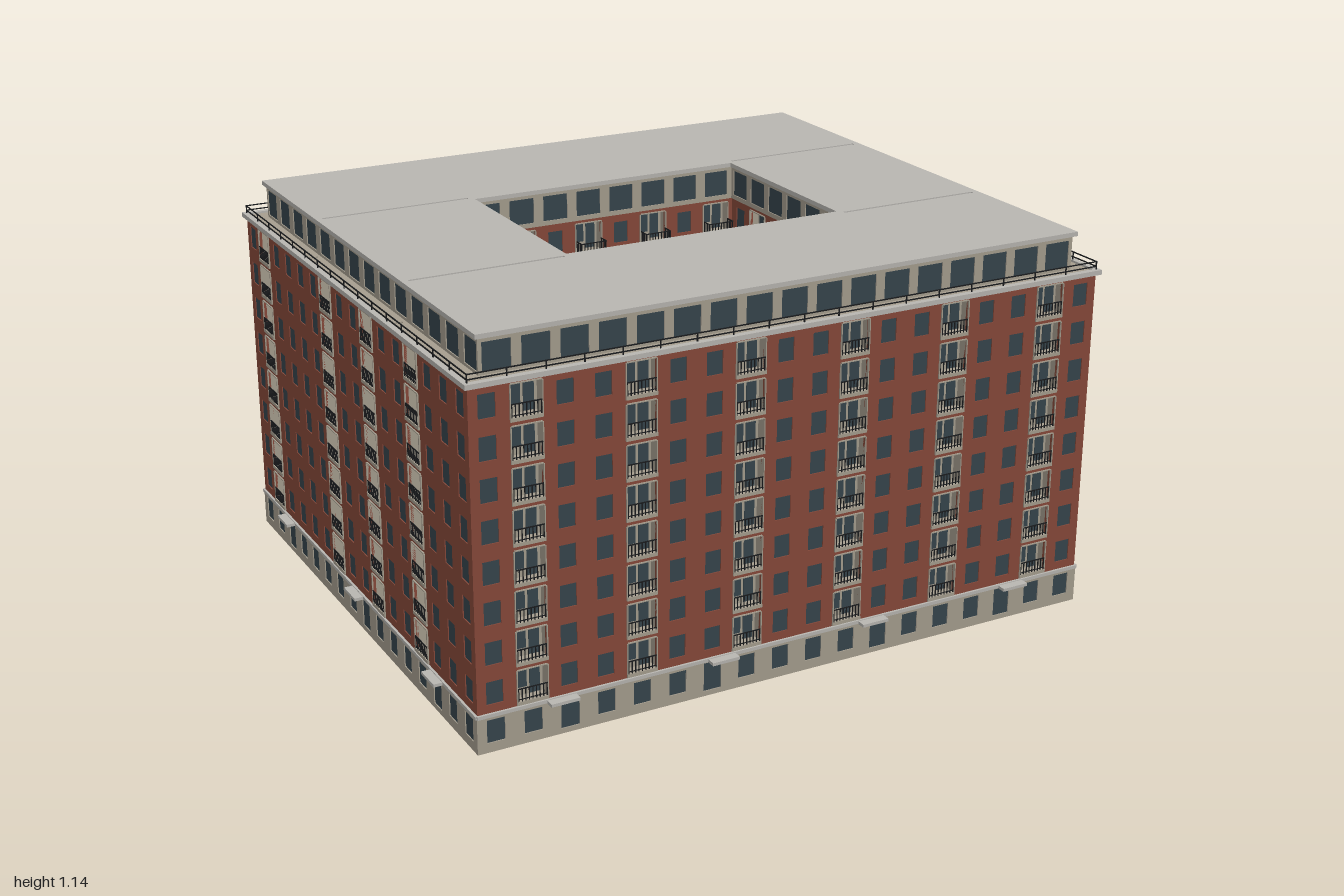
import * as THREE from 'three';
import { mergeGeometries } from 'three/addons/utils/BufferGeometryUtils.js';

const material = (name, color) => {
  const m = new THREE.MeshStandardMaterial({ color, side: THREE.DoubleSide });
  m.name = name;
  return m;
};
const mats = {
  brick: material('brick', 0x87493a),
  stone: material('stone', 0xa69e8f),
  trim: material('trim', 0xb8b6b1),
  glass: material('glass', 0x36454d),
  iron: material('iron', 0x1a1c1e),
};

const OUT = { x: 0.97, z: 0.842 };    // outer wall half sizes
const TOP = { x: 0.915, z: 0.79 };    // set-back top storey
const YARD = { x: 0.447, z: 0.319 };  // courtyard half sizes
const BASE = 0.108, LEDGE = 1.022, FLOORS = 8;
const STOREY = (LEDGE - BASE - 0.006) / FLOORS;
const T = 0.008;                      // wall thickness

// Box given by its corner ranges
function box(x0, x1, y0, y1, z0, z1) {
  return new THREE.BoxGeometry(x1 - x0, y1 - y0, z1 - z0)
    .translate((x0 + x1) / 2, (y0 + y1) / 2, (z0 + z1) / 2);
}

function addMesh(parent, name, mat, geometries) {
  if (!geometries.length) return;
  const mesh = new THREE.Mesh(mergeGeometries(geometries), mats[mat]);
  mesh.name = name;
  parent.add(mesh);
}

const rectPath = (C, x0, x1, y0, y1) => {
  const p = new C();
  p.moveTo(x0, y0);
  p.lineTo(x1, y0);
  p.lineTo(x1, y1);
  p.lineTo(x0, y1);
  p.closePath();
  return p;
};

// Wall with rectangular openings, outer face on local z
function wall(len, y0, y1, openings, z = 0) {
  const shape = rectPath(THREE.Shape, -len / 2, len / 2, y0, y1);
  for (const o of openings) shape.holes.push(rectPath(THREE.Path, ...o));
  return new THREE.ExtrudeGeometry(shape, { depth: T, bevelEnabled: false }).translate(0, 0, z - T);
}

const pane = ([x0, x1, y0, y1], z = 0) => box(x0, x1, y0, y1, z - 0.006, z - 0.003);

// Recessed balcony; "out" is how far its slab projects from the wall
function balcony(cx, y, out, stone, glass, iron) {
  const a = cx - 0.043, b = cx + 0.043, y1 = y + 0.096, back = -0.032, front = out + 0.002;
  stone.push(
    box(a, b, y, y1, back - 0.004, back),
    box(a - 0.003, a, y, y1, back, 0.001),
    box(b, b + 0.003, y, y1, back, 0.001),
    box(a, b, y1, y1 + 0.003, back, 0.001),
    box(a - 0.003, b + 0.003, y - 0.004, y + 0.006, back, front));
  glass.push(
    box(cx - 0.034, cx - 0.004, y + 0.03, y + 0.085, back - 0.006, back + 0.002),
    box(cx + 0.004, cx + 0.034, y + 0.008, y + 0.085, back - 0.006, back + 0.002));
  const r = 0.0012, top = y + 0.044, z = front - 0.003;
  iron.push(box(a, b, top - 0.003, top, z - r, z + r), box(a, b, y + 0.011, y + 0.013, z - r, z + r));
  for (let i = 0; i <= 8; i++) {
    const x = a + 0.002 + (b - a - 0.004) * i / 8;
    iron.push(box(x - r, x + r, y + 0.006, top, z - r, z + r));
  }
  if (out > 0) for (const x of [a + r, b - r]) {
    iron.push(box(x - r, x + r, top - 0.003, top, 0, z));
    for (let i = 0; i < 4; i++) {
      const zi = 0.004 + i * 0.009;
      iron.push(box(x - r, x + r, y + 0.006, top, zi - r, zi + r));
    }
  }
}

// One full-height facade: x runs along the wall, z points outwards
function facade(name, o) {
  const g = new THREE.Group();
  g.name = name;
  const pitch = o.len / o.bays, brickHoles = [], baseHoles = [], glass = [], stone = [], iron = [];
  for (let i = 0; i < o.bays; i++) {
    const x = -o.len / 2 + pitch * (i + 0.5);
    // Ground floor windows and doors
    const door = o.doors.includes(i);
    const opening = door ? [x - 0.027, x + 0.027, 0.015, 0.1] : [x - 0.026, x + 0.026, 0.028, 0.095];
    baseHoles.push(opening);
    glass.push(pane(opening));
    // Brick storeys
    for (let f = 0; f < FLOORS; f++) {
      const y = BASE + 0.006 + f * STOREY;
      if (o.balconies.includes(i)) {
        brickHoles.push([x - 0.043, x + 0.043, y + 0.006, y + 0.102]);
        balcony(x, y + 0.006, o.out, stone, glass, iron);
      } else {
        const w = [x - 0.024, x + 0.024, y + 0.024, y + 0.09];
        brickHoles.push(w);
        glass.push(pane(w, -0.003));
      }
    }
  }
  addMesh(g, 'groundFloorWall', 'stone', [wall(o.len, 0, BASE, baseHoles)]);
  addMesh(g, 'brickWall', 'brick', [wall(o.len - (o.out ? 0 : 0.006), BASE, LEDGE, brickHoles, -0.003)]);
  addMesh(g, 'windows', 'glass', glass);
  addMesh(g, 'balconies', 'stone', stone);
  addMesh(g, 'balconyRailings', 'iron', iron);
  // Band above the ground floor and door canopies
  const bands = [box(-o.len / 2, o.len / 2, BASE - 0.004, BASE + 0.006, -T, 0.004)];
  for (const x of o.canopies) bands.push(box(x - 0.042, x + 0.042, BASE - 0.005, BASE + 0.004, 0, 0.03));
  addMesh(g, 'bandAndCanopies', 'trim', bands);
  return g;
}

// Top storey wall with wide windows
function topStorey(name, len, count, pitch) {
  const g = new THREE.Group();
  g.name = name;
  const openings = [];
  for (let i = 0; i < count; i++) {
    const x = (i - (count - 1) / 2) * pitch;
    openings.push([x - 0.04, x + 0.04, 1.036, 1.114]);
  }
  addMesh(g, 'topStoreyWall', 'stone', [wall(len, LEDGE, 1.127, openings)]);
  addMesh(g, 'topStoreyWindows', 'glass', openings.map((w) => pane(w)));
  return g;
}

// Flat ring with a rectangular hole, plus narrow joints if wanted
function ring(ox, oz, ix, iz, y0, y1, joints = []) {
  const shape = rectPath(THREE.Shape, -ox, ox, -oz, oz);
  shape.holes.push(rectPath(THREE.Path, -ix, ix, -iz, iz));
  for (const j of joints) shape.holes.push(rectPath(THREE.Path, ...j));
  return new THREE.ExtrudeGeometry(shape, { depth: y1 - y0, bevelEnabled: false })
    .rotateX(-Math.PI / 2).translate(0, y0, 0);
}

// Slits across the two short wings
function jointsBetween(x0, x1) {
  const list = [];
  for (const z of [-0.325, 0.325]) {
    list.push([x0, x1, z - 0.005, z + 0.005], [-x1, -x0, z - 0.005, z + 0.005]);
  }
  return list;
}

export function createModel() {
  const model = new THREE.Group();
  model.name = 'courtyardApartmentBuilding';
  const place = (g, quarter, half, inward = 1) => {
    const d = (quarter % 2 ? half.x : half.z) * inward;
    g.rotation.y = quarter * Math.PI / 2;
    g.position.set(Math.sin(g.rotation.y) * d, 0, Math.cos(g.rotation.y) * d);
    model.add(g);
  };

  const names = ['front', 'left', 'back', 'right'];
  for (let q = 0; q < 4; q++) {
    const short = q % 2 === 1;
    // Street side
    place(facade(names[q] + 'Facade', short
      ? { len: OUT.z * 2, bays: 16, balconies: [1, 6, 9, 12], doors: [2, 8, 13], canopies: [-0.583, 0, 0.583], out: 0 }
      : { len: OUT.x * 2, bays: 18, balconies: [1, 4, 7, 10, 13, 16], doors: [2, 6, 11, 15],
        canopies: [-0.7275, -0.2425, 0.2425, 0.7275], out: 0 }), q, OUT);
    place(topStorey(names[q] + 'TopStorey', short ? TOP.z * 2 : TOP.x * 2,
      short ? 14 : 17, short ? 0.1146 : 0.108), q, TOP);
    // Courtyard side
    const len = (short ? YARD.z : YARD.x) * 2, bays = short ? 6 : 8;
    place(facade(names[q] + 'CourtyardFacade', {
      len, bays, balconies: short ? [1, 3, 5] : [1, 3, 5, 7], doors: [], canopies: [], out: 0.037,
    }), q, YARD, -1);
    place(topStorey(names[q] + 'CourtyardTopStorey', len, bays, len / bays), q, YARD, -1);
  }

  // Roof, terrace and ledge
  addMesh(model, 'roof', 'trim', [ring(0.925, 0.8, 0.436, 0.307, 1.127, 1.14, jointsBetween(0.45, 0.905))]);
  addMesh(model, 'terrace', 'stone', [ring(0.965, 0.837, 0.907, 0.782, 1.018, 1.028, jointsBetween(0.925, 0.96))]);
  addMesh(model, 'ledge', 'trim', [ring(0.978, 0.852, 0.962, 0.834, 1.02, 1.034)]);

  // Terrace railing
  const rx = 0.967, rz = 0.839, r = 0.0015;
  const rails = [1.044, 1.058].map((y) => ring(rx + r, rz + r, rx - r, rz - r, y - 0.003, y));
  addMesh(model, 'terraceRails', 'iron', rails);
  const posts = [];
  const post = (x, z) => posts.push(box(x - r, x + r, 1.03, 1.058, z - r, z + r));
  for (const s of [-1, 1]) {
    for (let i = 0; i <= 18; i++) post(-rx + 2 * rx * i / 18, s * rz);
    for (let i = 1; i < 16; i++) post(s * rx, -rz + 2 * rz * i / 16);
  }
  addMesh(model, 'terraceRailingPosts', 'iron', posts);
  return model;
}
